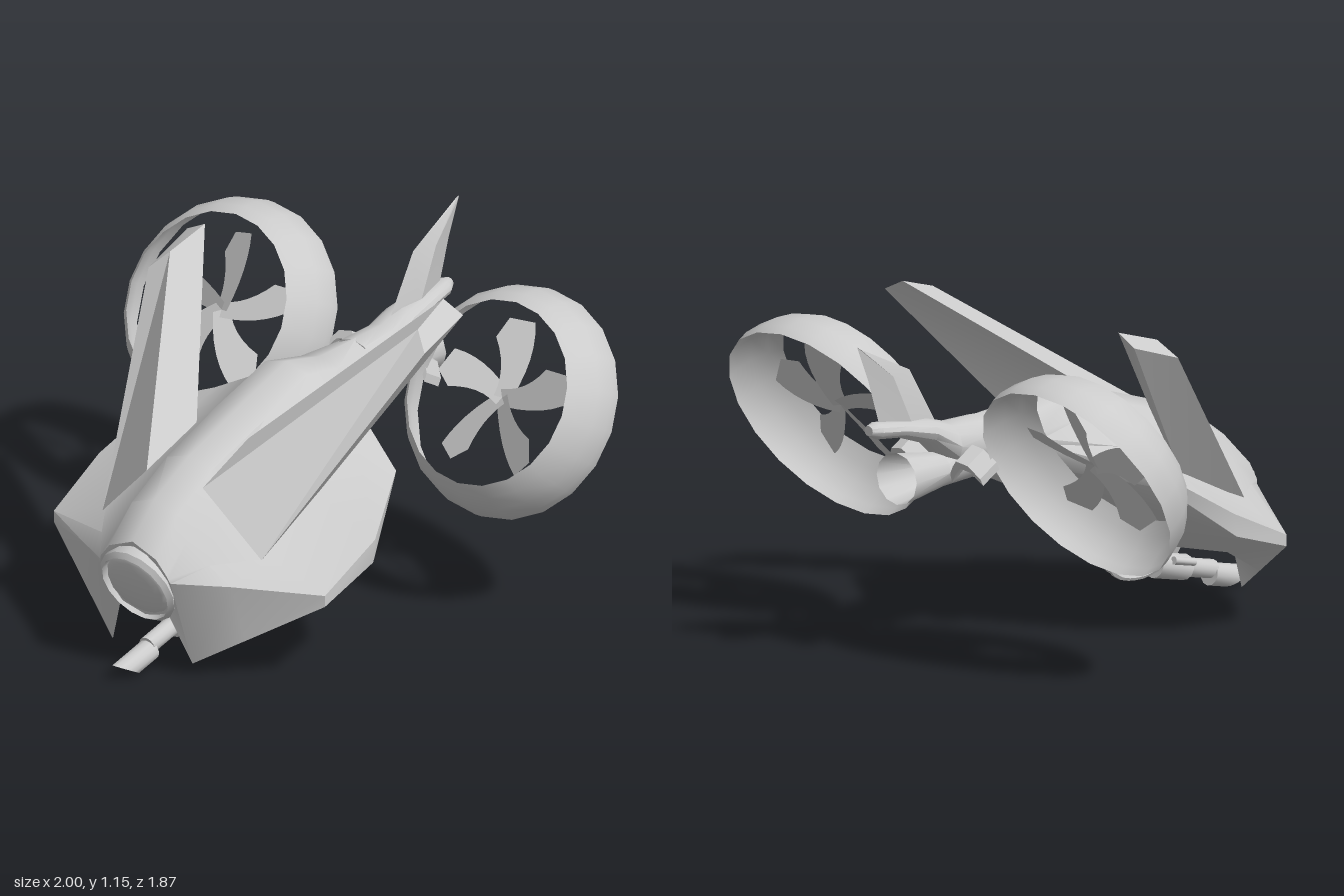
import * as THREE from 'three';
import { toCreasedNormals } from 'three/addons/utils/BufferGeometryUtils.js';

const mat = new THREE.MeshStandardMaterial({ color: 0xcccccc, side: THREE.DoubleSide });

function part(name, geo, parent, crease = 0.6) {
  const mesh = new THREE.Mesh(toCreasedNormals(geo, crease), mat);
  mesh.name = name;
  parent.add(mesh);
}

// Skin closed cross-sections of equal point count, with optional end caps
function loft(rings, caps = true) {
  const n = rings[0].length, idx = [];
  for (let r = 0; r < rings.length - 1; r++) {
    for (let i = 0; i < n; i++) {
      const a = r * n + i, b = r * n + (i + 1) % n;
      idx.push(a, a + n, b, b, a + n, b + n);
    }
  }
  if (caps) {
    const e = (rings.length - 1) * n;
    for (let i = 1; i < n - 1; i++) idx.push(0, i, i + 1, e, e + i + 1, e + i);
  }
  const g = new THREE.BufferGeometry();
  g.setAttribute('position', new THREE.Float32BufferAttribute(rings.flat(2), 3));
  g.setIndex(idx);
  return g;
}

// Complete a half section (top centre to bottom centre) by mirroring
const mirrored = (half) => [
  ...half,
  ...half.slice(1, -1).reverse().map(([x, y, z]) => [-x, y, z]),
];

const oval = (w, h, y, z, n = 12) => Array.from({ length: n }, (_, i) => {
  const a = i / n * Math.PI * 2;
  return [Math.sin(a) * w, y + Math.cos(a) * h, z];
});

function hull(group) {
  // Spine, sloping shoulder, rim (top and bottom edge) and belly
  const front = [
    [[0, .49, .84], [.1, .45, .84], [.14, .4, .835], [.145, .385, .83], [.15, .37, .825], [.17, .05, .73], [.13, .24, .78], [0, .2, .77]],
    [[0, .605, .72], [.095, .57, .72], [.14, .49, .72], [.23, .42, .715], [.32, .364, .71], [.334, .15, .65], [.2, .2, .66], [0, .2, .66]],
    [[0, .7, .53], [.095, .67, .53], [.14, .58, .53], [.35, .42, .54], [.58, .34, .53], [.58, .3, .53], [.3, .23, .53], [0, .2, .53]],
  ];
  const rear = [
    [[0, .79, .25], [.1, .76, .25], [.145, .68, .25], [.36, .55, .26], [.59, .46, .27], [.59, .38, .28], [.3, .36, .25], [0, .34, .24]],
    [[0, .865, 0], [.09, .84, 0], [.15, .77, 0], [.3, .69, .01], [.5, .61, .04], [.49, .57, .04], [.25, .53, 0], [0, .51, 0]],
    [[0, .82, -.18], [.08, .8, -.18], [.12, .74, -.18], [.125, .72, -.18], [.125, .7, -.18], [.12, .67, -.18], [.08, .62, -.18], [0, .61, -.18]],
    [[0, .82, -.38], [.07, .79, -.38], [.1, .74, -.38], [.105, .72, -.38], [.105, .7, -.38], [.095, .66, -.38], [.06, .61, -.38], [0, .6, -.38]],
  ];
  part('hull', loft([...front, ...rear].map(mirrored)), group, 0.8);

  // Tapered tail boom and the flared exhaust below it
  part('tailBoom', loft([
    oval(.1, .11, .71, -.36), oval(.085, .075, .745, -.52), oval(.07, .045, .805, -.62),
    oval(.055, .03, .835, -.75), oval(.04, .03, .845, -.85), oval(.02, .018, .85, -.885),
  ]), group);
  part('exhaust', loft([
    oval(.075, .07, .68, -.36), oval(.07, .06, .66, -.56), oval(.095, .09, .66, -.75),
  ], false), group);

  // Belly scoop, a side profile extruded across
  const scoop = new THREE.Shape([[.22, .35], [.02, .4], [-.13, .54], [-.1, .6], [.2, .48]]
    .map(([z, y]) => new THREE.Vector2(-z, y)));
  const g = new THREE.ExtrudeGeometry(scoop, { depth: .2, bevelEnabled: false });
  g.translate(0, 0, -.1).rotateY(Math.PI / 2);
  part('bellyScoop', g, group);
}

function nose(group) {
  const head = new THREE.Group();
  head.name = 'nose';
  head.position.set(0, .325, .795);
  head.rotation.x = .39;
  const rim = new THREE.LatheGeometry(
    [[.148, -.06], [.152, .02], [.135, .035], [.13, .01]].map(([r, z]) => new THREE.Vector2(r, z)), 16);
  part('noseRim', rim.rotateX(Math.PI / 2), head);
  part('noseLens', new THREE.SphereGeometry(.13, 16, 5, 0, Math.PI * 2, 0, Math.PI / 2)
    .scale(1, .2, 1).rotateX(Math.PI / 2).translate(0, 0, .01), head);
  group.add(head);
}

function gun(group) {
  const arm = new THREE.Group();
  arm.name = 'gun';
  arm.position.set(0, .125, .555);
  arm.rotation.x = .22;
  const tube = (r, len, z) => new THREE.CylinderGeometry(r, r, len, 12)
    .rotateX(Math.PI / 2).translate(0, 0, z);
  part('gunBody', tube(.045, .15, 0), arm);
  part('gunBarrel', tube(.033, .16, .13), arm);
  // Muzzle cut on a slant
  const muzzle = tube(.04, .18, .29).translate(0, -.018, 0);
  const p = muzzle.attributes.position;
  for (let i = 0; i < p.count; i++) {
    if (p.getZ(i) > .3) p.setZ(i, .355 + p.getY(i) * 1.2);
  }
  part('muzzle', muzzle, arm);
  part('sensor', tube(.014, .1, .02).translate(-.045, .025, 0), arm);
  group.add(arm);
  // Feed pipes from the gun up to the scoop
  [-.03, 0, .03].forEach((x, i) => {
    const d = i * .012;
    const path = new THREE.CatmullRomCurve3([[x * .7, .14, .5], [x, .125 + d, .38], [x, .15 + d, .27], [x, .24, .21 + d], [x, .38, .17 + d]]
      .map((v) => new THREE.Vector3(...v)));
    part('feedPipe', new THREE.TubeGeometry(path, 14, .011, 6), group);
  });
}

function tailFin(group) {
  // Swept blade with a diamond section
  const section = (y0, z0, y1, z1, w) => {
    const y = (y0 + y1) / 2, z = (z0 + z1) / 2;
    return [[0, y0, z0], [w, y, z], [0, y1, z1], [-w, y, z]];
  };
  part('tailFin', loft([
    section(.82, -.56, .85, -.83, .025), section(1.03, -.69, 1.02, -.885, .022), section(1.135, -.92, 1.15, -.94, .005),
  ]), group, 0.3);
}

// Thick swept wing rising from the shoulder
function wing(s) {
  const rings = [
    [[.12, .64, .61], [.34, .42, .57], [.33, .54, .28], [.11, .73, .35]],
    [[.53, 1.11, -.04], [.59, 1.05, 0], [.59, 1.12, -.21], [.51, 1.16, -.205]],
  ].map((ring) => ring.map(([x, y, z]) => [x * s, y, z]));
  return loft(rings);
}

function ductedFan(s) {
  const pod = new THREE.Group();
  pod.name = s > 0 ? 'leftFan' : 'rightFan';
  pod.position.set(.6 * s, .75, -.41);
  pod.rotation.x = -Math.PI / 6;

  // Shroud, wider at the rear
  const shroud = new THREE.LatheGeometry(
    [[.4, -.1], [.4, -.06], [.385, 0], [.355, .055], [.32, .095]].map(([r, z]) => new THREE.Vector2(r, z)), 20);
  part('shroud', shroud.rotateX(Math.PI / 2), pod);

  // Five broad twisted blades meeting at the centre
  const blade = new THREE.Shape();
  blade.moveTo(-.03, 0);
  blade.quadraticCurveTo(-.015, .1, -.085, .19);
  blade.lineTo(-.06, .265);
  blade.lineTo(.03, .275);
  blade.quadraticCurveTo(.075, .16, .03, 0);
  const rotor = new THREE.Group();
  rotor.name = 'rotor';
  for (let i = 0; i < 5; i++) {
    const g = new THREE.ShapeGeometry(blade, 6);
    g.rotateY(.35 * s).rotateZ(i * Math.PI * 2 / 5);
    part('blade', g, rotor);
  }
  pod.add(rotor);

  // Arched arm joining the shroud to the boom
  const arch = [[-.54, -.03], [-.5, .02], [-.47, .05], [-.42, .04], [-.385, -.01]];
  const outline = [...arch.map(([x, y]) => [x, y + .015]), ...arch.map(([x, y]) => [x, y - .015]).reverse()];
  const shape = new THREE.Shape(outline.map(([x, y]) => new THREE.Vector2(x * s, y)));
  const arm = new THREE.ExtrudeGeometry(shape, { depth: .09, bevelEnabled: false });
  part('fanArm', arm.translate(0, 0, -.18), pod);
  return pod;
}

export function createModel() {
  const group = new THREE.Group();
  group.name = 'aircraft';
  hull(group);
  nose(group);
  gun(group);
  tailFin(group);
  for (const s of [1, -1]) {
    part(s > 0 ? 'leftWing' : 'rightWing', wing(s), group, 0.4);
    group.add(ductedFan(s));
  }
  return group;
}
